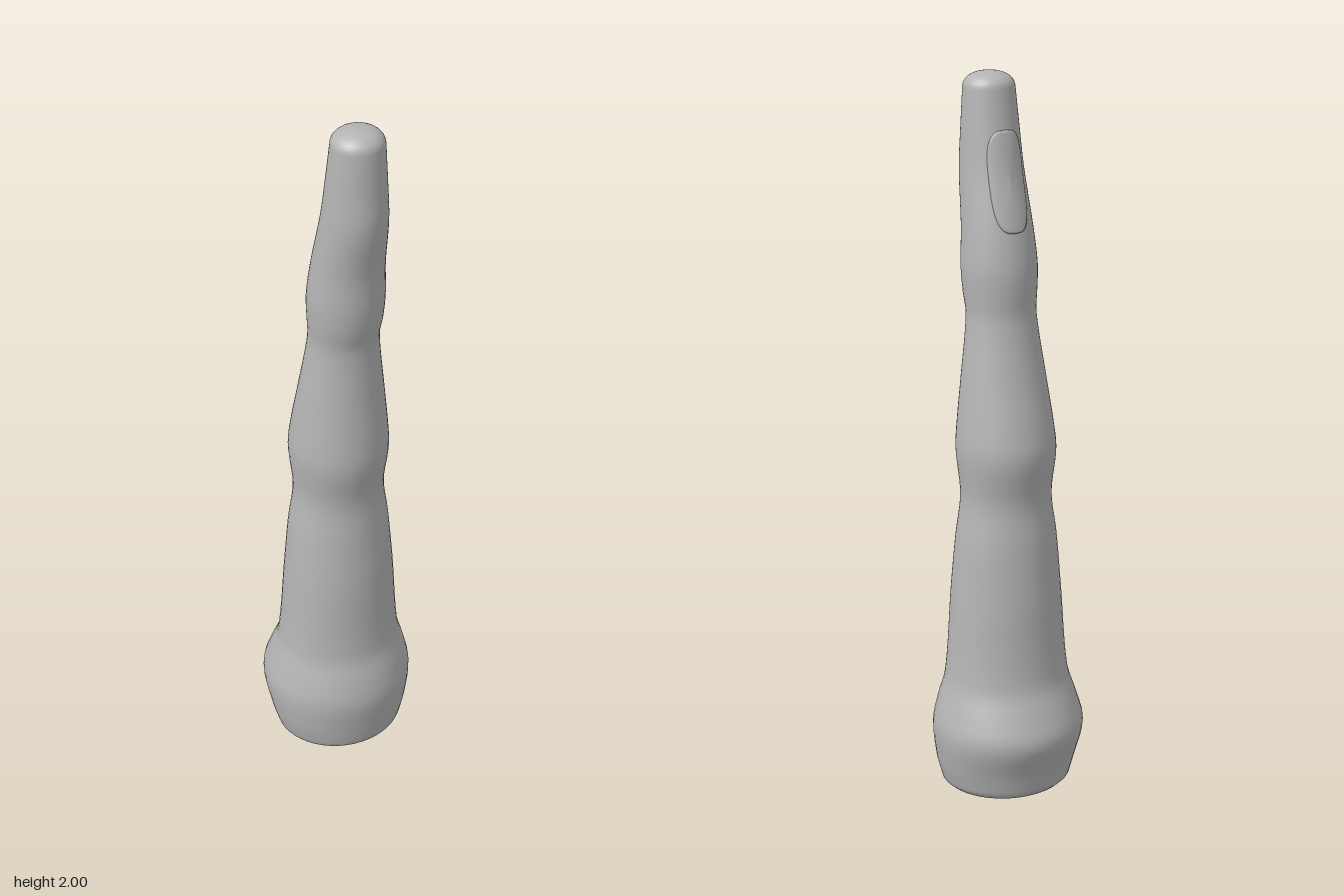
import * as THREE from 'three';

// Profile of the finger: height, half width, front z, back z
const profile = [
  [0.05, 0.186, 0.186, -0.16],
  [0.10, 0.199, 0.194, -0.172],
  [0.20, 0.211, 0.205, -0.205],
  [0.27, 0.196, 0.192, -0.182],
  [0.35, 0.174, 0.167, -0.148],
  [0.60, 0.154, 0.153, -0.129],
  [0.75, 0.141, 0.139, -0.117],
  [0.87, 0.126, 0.128, -0.105],
  [1.00, 0.135, 0.148, -0.125],
  [1.08, 0.129, 0.145, -0.113],
  [1.20, 0.115, 0.134, -0.085],
  [1.37, 0.095, 0.125, -0.052],
  [1.43, 0.099, 0.139, -0.053],
  [1.50, 0.102, 0.147, -0.053],
  [1.60, 0.095, 0.151, -0.036],
  [1.75, 0.084, 0.175, -0.001],
  [1.85, 0.077, 0.172, 0.016],
  [1.96, 0.069, 0.167, 0.032],
];

// Smooth interpolation of the profile at height y
function section(y) {
  const n = profile.length;
  let i = 0;
  while (i < n - 2 && y > profile[i + 1][0]) i++;
  const a = profile[i], b = profile[i + 1], d = b[0] - a[0];
  const t = (y - a[0]) / d;
  const slope = (k, c) => {
    const p = profile[Math.max(k - 1, 0)], q = profile[Math.min(k + 1, n - 1)];
    return (q[c] - p[c]) / (q[0] - p[0]);
  };
  const value = c => (2 * t ** 3 - 3 * t * t + 1) * a[c] + (t ** 3 - 2 * t * t + t) * d * slope(i, c)
    + (3 * t * t - 2 * t ** 3) * b[c] + (t ** 3 - t * t) * d * slope(i + 1, c);
  const front = value(2), back = value(3);
  return { y, rx: value(1), rz: (front - back) / 2, z: (front + back) / 2 };
}

// Joins closed rings of points into a smooth surface
function loft(rings) {
  const count = rings[0].length, index = [];
  for (let r = 0; r < rings.length - 1; r++) {
    for (let j = 0; j < count; j++) {
      const k = (j + 1) % count;
      const a = r * count + j, b = r * count + k, c = b + count, d = a + count;
      index.push(a, b, c, a, c, d);
    }
  }
  const geometry = new THREE.BufferGeometry();
  geometry.setAttribute('position', new THREE.Float32BufferAttribute(rings.flat(2), 3));
  geometry.setIndex(index);
  geometry.computeVertexNormals();
  return geometry;
}

function ellipseRing({ y, rx, rz, z }, scale = 1, segments = 48) {
  return Array.from({ length: segments }, (_, j) => {
    const a = j / segments * Math.PI * 2;
    return [Math.sin(a) * rx * scale, y, z + Math.cos(a) * rz * scale];
  });
}

function fingerGeometry() {
  const rings = [], low = section(0.05), high = section(1.96);
  // Shallow domed base
  for (const [s, y] of [[0.001, 0], [0.4, 0.004], [0.75, 0.015], [0.92, 0.027], [0.98, 0.037]]) {
    rings.push(ellipseRing({ ...low, y }, s));
  }
  // Shaft with knuckles
  for (let i = 0; i <= 90; i++) rings.push(ellipseRing(section(0.05 + 1.91 * i / 90)));
  // Rounded tip
  for (let i = 1; i <= 8; i++) {
    const a = i / 8 * Math.PI / 2;
    rings.push(ellipseRing({ ...high, y: 1.96 + 0.04 * Math.sin(a) }, Math.max(Math.cos(a) ** 0.8, 0.001)));
  }
  return loft(rings);
}

// Rounded nail that follows the back of the fingertip
function nailGeometry() {
  const rings = [];
  const soft = v => Math.sign(v) * Math.abs(v) ** 0.6;
  for (const [s, lift] of [[1, -0.006], [1, 0.005], [0.95, 0.007], [0.7, 0.007], [0.35, 0.007], [0.001, 0.007]]) {
    rings.push(Array.from({ length: 40 }, (_, j) => {
      const a = j / 40 * Math.PI * 2;
      const x = -0.05 * s * soft(Math.cos(a)), y = 1.73 + 0.13 * s * soft(Math.sin(a));
      const { rx, rz, z } = section(y);
      return [x, y, z - rz * Math.sqrt(1 - (x / rx) ** 2) - lift];
    }));
  }
  return loft(rings);
}

export function createModel() {
  const model = new THREE.Group();
  model.name = 'finger';
  const grey = new THREE.MeshStandardMaterial({ color: 0xb4b4b4 });
  grey.name = 'plain grey';
  for (const [name, geometry] of [['fingerBody', fingerGeometry()], ['fingernail', nailGeometry()]]) {
    const mesh = new THREE.Mesh(geometry, grey);
    mesh.name = name;
    model.add(mesh);
  }
  return model;
}
